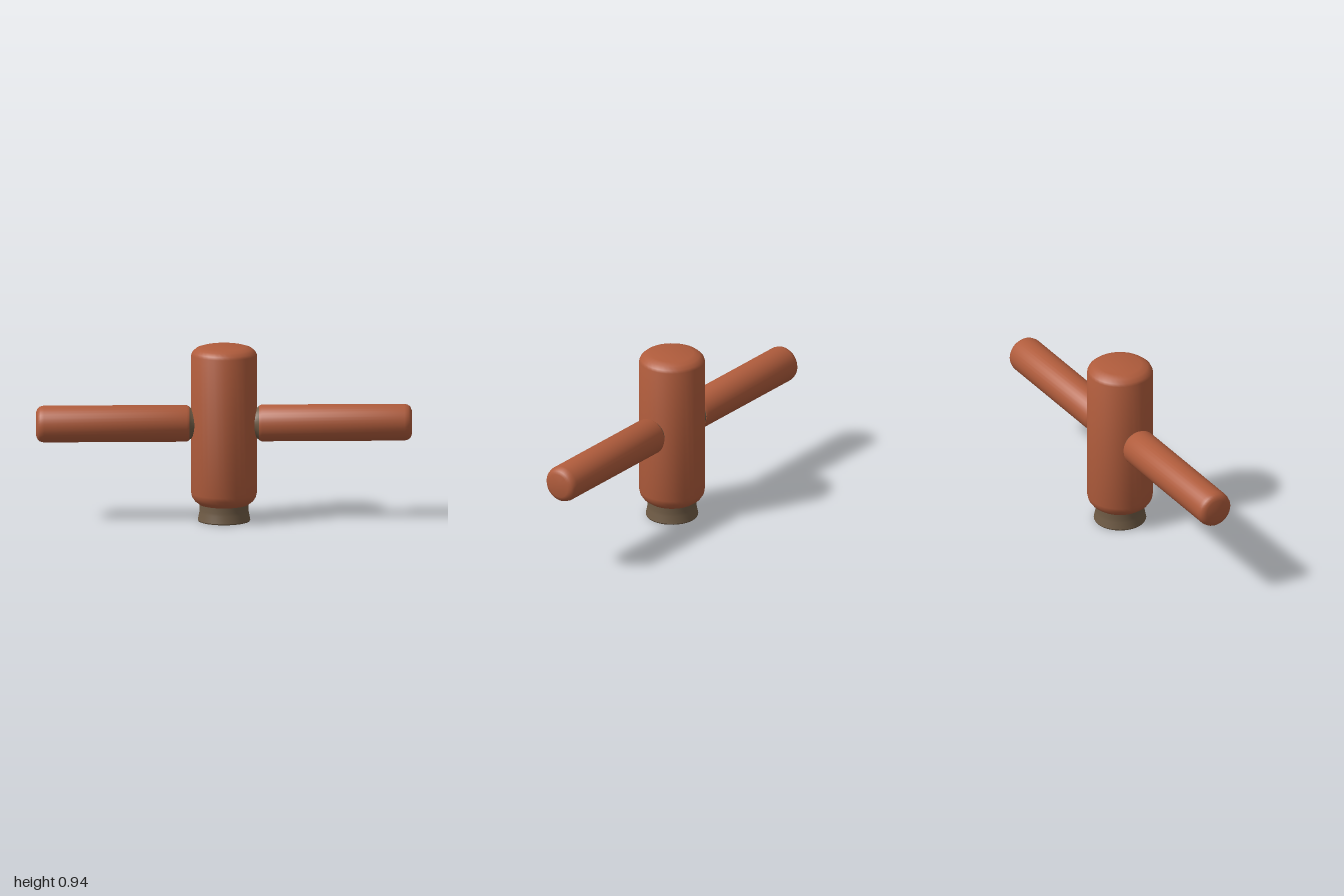
import * as THREE from 'three';
import { toCreasedNormals } from 'three/addons/utils/BufferGeometryUtils.js';

const clay = new THREE.MeshStandardMaterial({ color: 0xb05c3c });
const umber = new THREE.MeshStandardMaterial({ color: 0x6f5b45 });

// Turned part: profile of [radius, height] from bottom to top
function turned(name, profile, material) {
  const points = profile.map(([r, y]) => new THREE.Vector2(r, y));
  const geometry = toCreasedNormals(new THREE.LatheGeometry(points, 36), 0.6);
  const mesh = new THREE.Mesh(geometry, material);
  mesh.name = name;
  return mesh;
}

export function createModel() {
  const model = new THREE.Group();
  model.name = 'crossHandle';

  // Flared foot under the body
  model.add(turned('foot', [
    [0, 0], [0.137, 0], [0.14, 0.006], [0.132, 0.045], [0.13, 0.06], [0.13, 0.1], [0, 0.1],
  ], umber));

  // Upright body with rounded rims
  model.add(turned('body', [
    [0, 0.09], [0.13, 0.09], [0.155, 0.108], [0.17, 0.13], [0.175, 0.152],
    [0.175, 0.9], [0.168, 0.915], [0.148, 0.932], [0.115, 0.942], [0, 0.942],
  ], clay));

  // Mirrored side arms, each with a tapered collar at the body
  for (const [side, sign] of [['left', 1], ['right', -1]]) {
    const arm = new THREE.Group();
    arm.name = side + 'Arm';
    arm.add(turned(side + 'Collar', [
      [0, 0.12], [0.065, 0.12], [0.067, 0.155], [0.09, 0.187], [0, 0.187],
    ], umber));
    arm.add(turned(side + 'Bar', [
      [0, 0.185], [0.09, 0.185], [0.098, 0.2], [0.098, 0.96],
      [0.093, 0.98], [0.082, 0.993], [0.064, 1], [0, 1],
    ], clay));
    arm.rotation.z = -sign * Math.PI / 2;
    arm.position.y = 0.528;
    model.add(arm);
  }
  return model;
}
